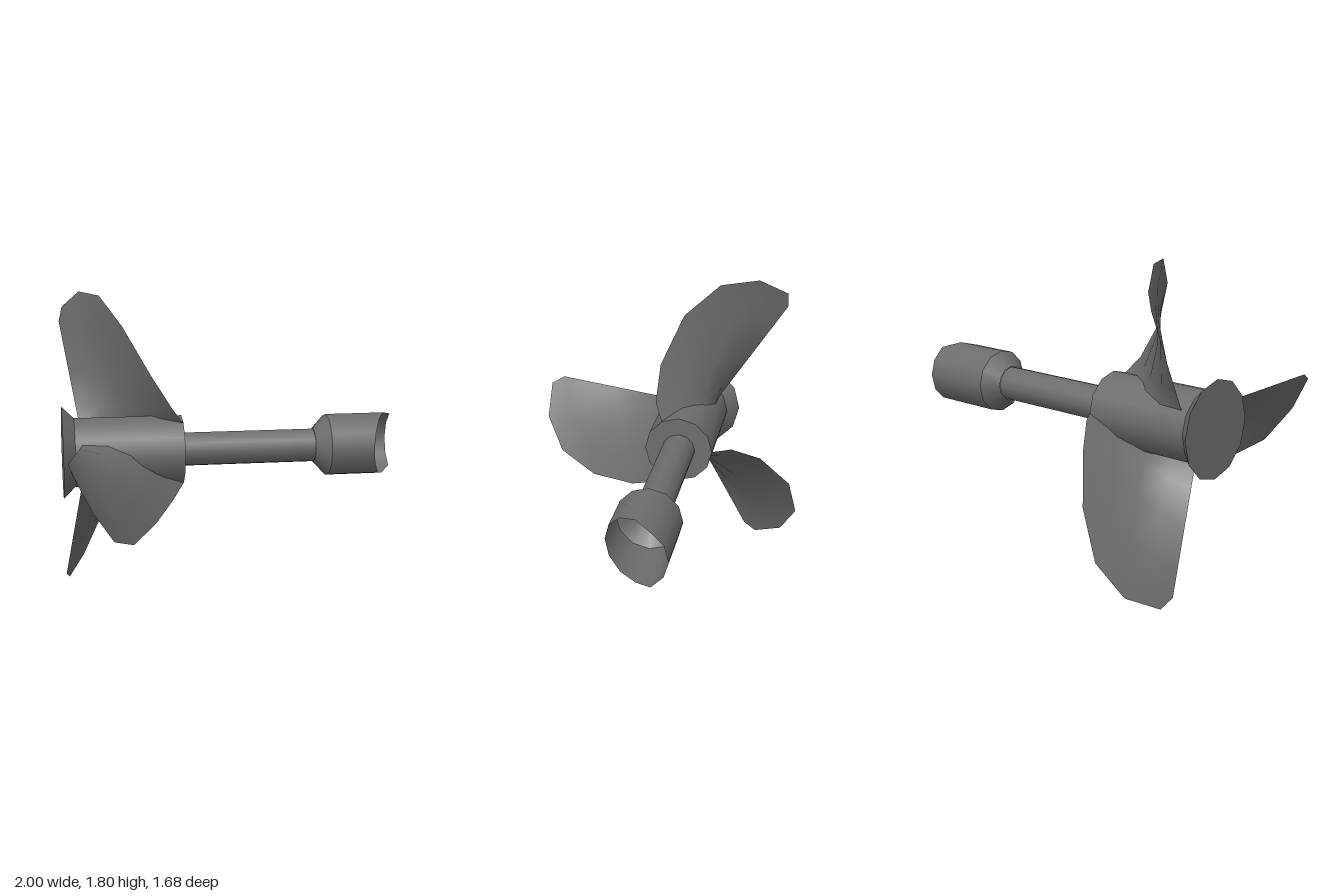
import * as THREE from 'three';

const AXIS_Y = 0.885, AXIS_Z = -0.142, SIDES = 12;

const material = new THREE.MeshStandardMaterial({ color: 0x6d6d6d, side: THREE.DoubleSide });

// Tapered tube or solid along x, from x0 (radius r0) to x1 (radius r1)
function barrel(name, x0, x1, r0, r1, open = false) {
  const geometry = new THREE.CylinderGeometry(r1, r0, x1 - x0, SIDES, 1, open);
  geometry.rotateZ(-Math.PI / 2);
  geometry.translate((x0 + x1) / 2, 0, 0);
  const mesh = new THREE.Mesh(geometry, material);
  mesh.name = name;
  return mesh;
}

// Thin twisted blade: chords run from the curved leading edge to the straight
// trailing edge, bowed most strongly at the root
function bladeGeometry() {
  const root = new THREE.Vector3(-0.89, 0.12, -0.16);
  const corner = new THREE.Vector3(-0.99, 0.715, -0.558);
  // leading x, y, z, position along trailing edge, bow
  const sections = [
    [-0.30, 0.175, 0.105, 0, 0.085],
    [-0.37, 0.27, 0.155, 0.2, 0.065],
    [-0.49, 0.465, 0.15, 0.5, 0.045],
    [-0.64, 0.735, 0.035, 0.8, 0.02],
    [-0.76, 0.9, -0.165, 0.93, 0.006],
    [-0.87, 0.91, -0.388, 0.98, 0],
    [-0.97, 0.805, -0.558, 1, 0],
  ];
  const steps = 4, positions = [], index = [];
  sections.forEach(([x, y, z, along, bow], row) => {
    const lead = new THREE.Vector3(x, y, z);
    const trail = root.clone().lerp(corner, along);
    for (let i = 0; i <= steps; i++) {
      const t = i / steps;
      const p = lead.clone().lerp(trail, t);
      const bend = bow * Math.sin(Math.PI * t);
      positions.push(p.x, p.y - 0.2 * bend, p.z - bend);
      if (row > 0 && i > 0) {
        const d = row * (steps + 1) + i, c = d - 1;
        const b = d - steps - 1, a = b - 1;
        index.push(a, c, b, b, c, d);
      }
    }
  });
  const geometry = new THREE.BufferGeometry();
  geometry.setAttribute('position', new THREE.Float32BufferAttribute(positions, 3));
  geometry.setIndex(index);
  geometry.computeVertexNormals();
  return geometry;
}

export function createModel() {
  const model = new THREE.Group();
  model.name = 'propeller';
  const rotor = new THREE.Group();
  rotor.name = 'rotor';
  rotor.position.set(0, AXIS_Y, AXIS_Z);
  model.add(rotor);

  // Hub with flared rear end
  rotor.add(barrel('hubFlare', -1, -0.93, 0.275, 0.205));
  rotor.add(barrel('hub', -0.93, -0.3, 0.205, 0.205));

  // Drive shaft and open coupling socket
  rotor.add(barrel('shaft', -0.3, 0.495, 0.1, 0.1));
  rotor.add(barrel('socketTaper', 0.495, 0.575, 0.102, 0.187, true));
  const socket = barrel('socket', 0.575, 1, 0.187, 0.187, true);
  const pos = socket.geometry.attributes.position;
  // Slanted cut across the socket mouth
  for (let i = 0; i < pos.count; i++) {
    if (pos.getX(i) < 0.9) continue;
    const z = pos.getZ(i);
    pos.setX(i, Math.min(1, 0.93 - z * (z > 0 ? 0.53 : 0.75)));
  }
  rotor.add(socket);

  // Three blades around the hub
  const geometry = bladeGeometry();
  for (let i = 0; i < 3; i++) {
    const blade = new THREE.Mesh(geometry, material);
    blade.name = `blade${i + 1}`;
    blade.rotation.x = (i * Math.PI * 2) / 3;
    rotor.add(blade);
  }
  return model;
}
